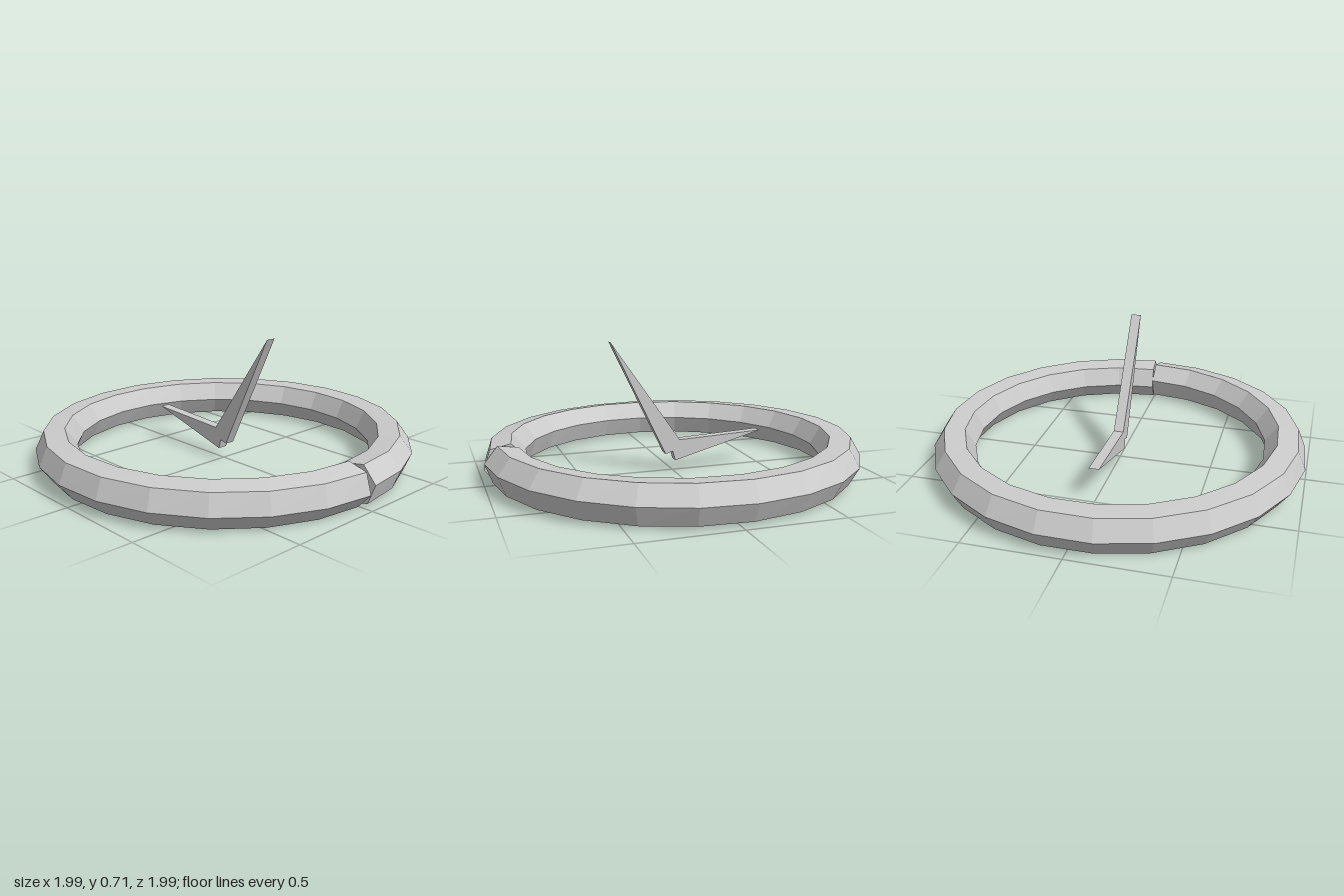
import * as THREE from 'three';

const metal = new THREE.MeshStandardMaterial({ color: 0xcccccc, flatShading: true });
metal.name = 'light grey';

// Open ring with a hexagonal section that twists slowly from one end to the other
function ringGeometry() {
  const segments = 23, sides = 6, R = 0.89, r = 0.11, midY = 0.107;
  const positions = [], index = [];
  for (let i = 0; i <= segments; i++) {
    const t = i / segments, theta = t * Math.PI * 2;
    const twist = THREE.MathUtils.degToRad(-13 + 22 * t);
    // the two end sections lean apart, leaving a narrow wedge at the seam
    const lean = i === 0 ? 0.006 : i === segments ? -0.009 : 0;
    for (let j = 0; j < sides; j++) {
      const phi = twist + j * Math.PI * 2 / sides;
      const radius = R + r * Math.cos(phi);
      positions.push(
        radius * Math.cos(theta),
        midY + r * Math.sin(phi),
        radius * Math.sin(theta) + lean * (1 + Math.cos(phi)));
    }
  }
  for (let i = 0; i < segments; i++) {
    for (let j = 0; j < sides; j++) {
      const a = i * sides + j, b = i * sides + (j + 1) % sides;
      index.push(a, b, a + sides, b, b + sides, a + sides);
    }
  }
  // end caps
  const last = segments * sides;
  for (let j = 1; j < sides - 1; j++) {
    index.push(0, j + 1, j, last, last + j, last + j + 1);
  }
  const indexed = new THREE.BufferGeometry();
  indexed.setAttribute('position', new THREE.Float32BufferAttribute(positions, 3));
  indexed.setIndex(index);
  const geometry = indexed.toNonIndexed();
  geometry.computeVertexNormals();
  return geometry;
}

// Two tapering pointers joined in a V, with a notch under the joint
function pointerGeometry() {
  const depth = 0.053;
  const outline = [
    [-0.5, 0.19], [-0.01, 0.058], [0.005, 0.11],
    [0.045, 0.097], [0.34, 0.71], [-0.035, 0.17],
  ].map(([x, y]) => new THREE.Vector2(x, y));
  const geometry = new THREE.ExtrudeGeometry(new THREE.Shape(outline), { depth, bevelEnabled: false });
  geometry.translate(0, 0, -depth / 2);
  return geometry;
}

export function createModel() {
  const model = new THREE.Group();
  model.name = 'ringWithPointers';

  const ring = new THREE.Mesh(ringGeometry(), metal);
  ring.name = 'ring';

  const pointers = new THREE.Mesh(pointerGeometry(), metal);
  pointers.name = 'pointers';

  model.add(ring, pointers);
  return model;
}
